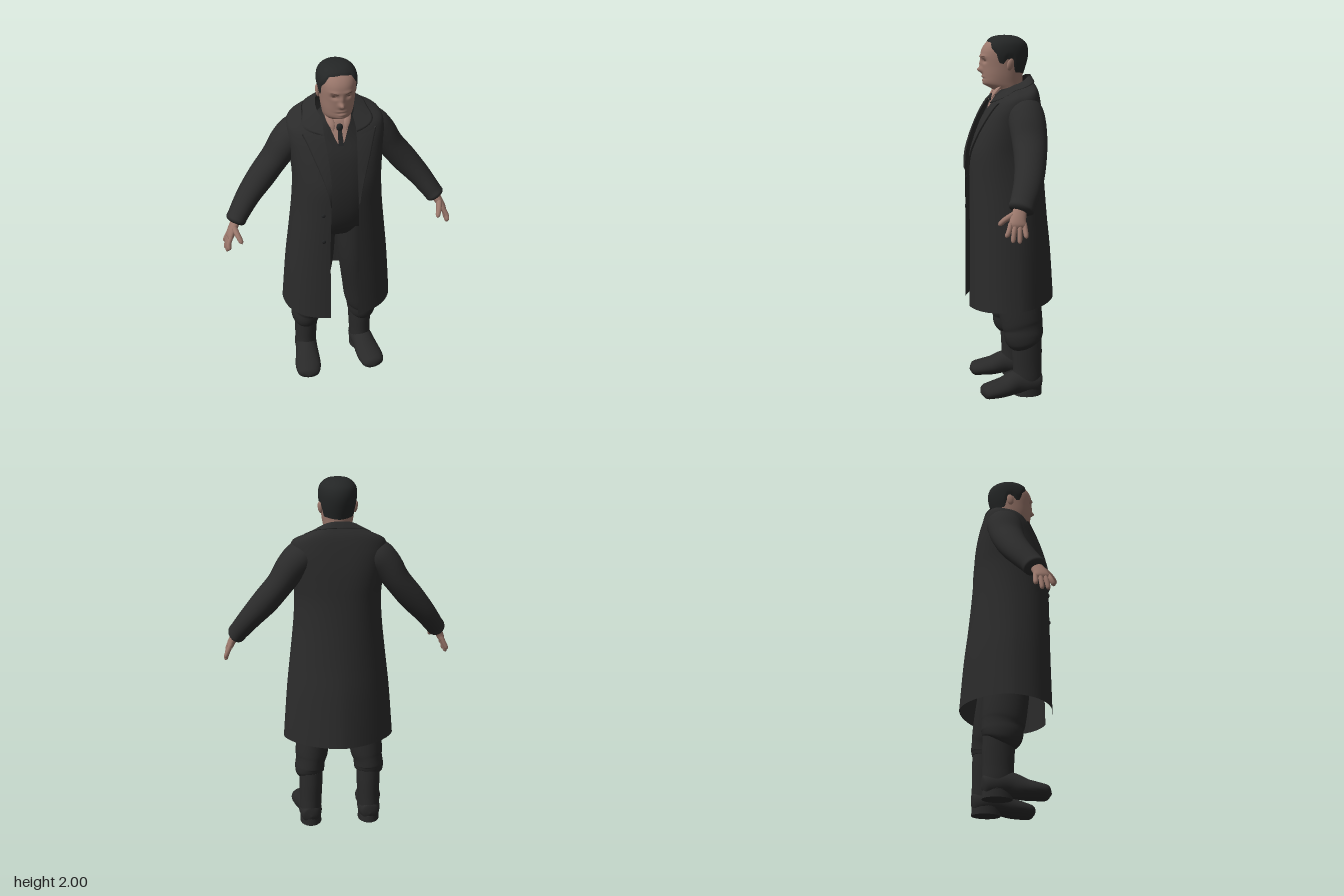
import * as THREE from 'three';
import { mergeVertices } from 'three/addons/utils/BufferGeometryUtils.js';
import { ParametricGeometry } from 'three/addons/geometries/ParametricGeometry.js';

const mat = (name, color) => Object.assign(new THREE.MeshStandardMaterial({ color, side: THREE.DoubleSide }), { name });
const lerp = THREE.MathUtils.lerp;

// Smooth surface from f(u, v) -> [x, y, z]
function surf(f, nu, nv) {
  const g = new ParametricGeometry((u, v, p) => p.set(...f(u, v)), nu, nv);
  g.deleteAttribute('uv');
  g.deleteAttribute('normal');
  const m = mergeVertices(g, 1e-5);
  m.computeVertexNormals();
  return m;
}

// Catmull-Rom through rows of numbers, t counted in rows
function at(keys, t) {
  const n = keys.length - 1, i = Math.max(0, Math.min(n - 1, Math.floor(t))), f = t - i;
  const k = j => keys[Math.max(0, Math.min(n, j))];
  return keys[i].map((b, c) => {
    const a = k(i - 1)[c], d = k(i + 1)[c], e = k(i + 2)[c];
    return b + 0.5 * f * (d - a + f * (2 * a - 5 * b + 4 * d - e + f * (3 * (b - d) + e - a)));
  });
}

// Row position at which the first column (height) reaches y
function rowAt(keys, y) {
  let a = 0, b = keys.length - 1;
  for (let i = 0; i < 24; i++) { const m = (a + b) / 2; if (at(keys, m)[0] < y) a = m; else b = m; }
  return a;
}

// Point of a body section; rows are [y, halfWidth, zFront, zBack, backRise, opening]
function section(keys, t, th, eFront, eBack, off = 0) {
  const [y, w, zf, zb, rise = 0] = at(keys, t);
  const s = Math.sin(th), c = Math.cos(th), e = c > 0 ? eFront : eBack, zc = (zf + zb) / 2;
  return [
    Math.sign(s) * Math.max(0, w) * Math.abs(s) ** e + off * s,
    y + rise * (1 - c) / 2,
    zc + Math.sign(c) * (zf - zc) * Math.abs(c) ** e + off * c,
  ];
}

// Tapered tube through rows [x, y, z, r, r2]; r2 runs along the ref axis
function tube(keys, nu, nv, ref = new THREE.Vector3(0, 0, 1), minY = -1) {
  const n = keys.length - 1;
  return surf((u, v) => {
    const t = v * n, k = at(keys, t);
    const p = at(keys, Math.max(0, t - 0.05)), q = at(keys, Math.min(n, t + 0.05));
    const T = new THREE.Vector3(q[0] - p[0], q[1] - p[1], q[2] - p[2]).normalize();
    const S = T.clone().cross(ref).normalize(), N = T.clone().cross(S), a = u * Math.PI * 2;
    const P = new THREE.Vector3(k[0], k[1], k[2])
      .addScaledVector(S, Math.cos(a) * Math.max(0, k[3])).addScaledVector(N, Math.sin(a) * Math.max(0, k[4]));
    return [P.x, Math.max(minY, P.y), P.z];
  }, nu, nv);
}

const COAT = [
  [0.505, 0.315, 0.25, -0.248, 0.03, 0.08], [0.8, 0.292, 0.247, -0.228, 0.01, 0.08],
  [1.0, 0.27, 0.247, -0.207, 0, 0.08], [1.2, 0.248, 0.247, -0.189, 0, 0.075],
  [1.35, 0.24, 0.243, -0.178, 0, 0.07], [1.45, 0.246, 0.218, -0.173, 0, 0.072],
  [1.53, 0.254, 0.187, -0.166, 0.01, 0.077], [1.6, 0.262, 0.15, -0.153, 0.03, 0.083],
  [1.643, 0.245, 0.12, -0.137, 0.065, 0.086], [1.665, 0.165, 0.1, -0.116, 0.09, 0.085],
  [1.682, 0.1, 0.082, -0.1, 0.106, 0.08],
];
const TORSO = [
  [0.96, 0, 0.02, 0.02], [0.99, 0.13, 0.11, -0.11], [1.08, 0.18, 0.168, -0.14], [1.2, 0.2, 0.2, -0.15],
  [1.35, 0.2, 0.205, -0.15], [1.5, 0.2, 0.175, -0.14], [1.6, 0.18, 0.125, -0.12],
  [1.66, 0.13, 0.1, -0.1], [1.7, 0.085, 0.085, -0.09], [1.73, 0.07, 0.06, -0.08],
];
const HEAD = [
  [1.62, 0.07, 0.05, -0.08], [1.69, 0.072, 0.072, -0.075], [1.712, 0.071, 0.105, -0.07], [1.738, 0.077, 0.143, -0.07],
  [1.78, 0.085, 0.152, -0.07], [1.83, 0.091, 0.157, -0.08], [1.88, 0.096, 0.163, -0.092], [1.92, 0.097, 0.157, -0.093],
  [1.955, 0.088, 0.135, -0.08], [1.982, 0.062, 0.1, -0.045], [1.993, 0.032, 0.062, -0.005], [1.996, 0, 0.03, 0.03],
];
// Face relief: [x, y, spreadX, spreadY, depth]
const RELIEF = [
  [0, 1.813, 0.014, 0.015, 0.026], [0, 1.845, 0.011, 0.022, 0.011], [0.036, 1.86, 0.017, 0.011, -0.012],
  [-0.036, 1.86, 0.017, 0.011, -0.012], [0.035, 1.885, 0.025, 0.009, 0.005], [-0.035, 1.885, 0.025, 0.009, 0.005],
  [0, 1.776, 0.025, 0.008, 0.006], [0, 1.767, 0.025, 0.004, -0.006], [0, 1.758, 0.02, 0.007, 0.006], [0, 1.738, 0.025, 0.013, 0.008],
];
function headPoint(t, th, off = 0) {
  const p = section(HEAD, t, th, 0.92, 1, off);
  if (Math.cos(th) > 0) {
    for (const [x, y, sx, sy, d] of RELIEF) p[2] += d * Math.exp(-(((p[0] - x) / sx) ** 2) - ((p[1] - y) / sy) ** 2);
  }
  return p;
}
const HAIRLINE = [[0, 1.966], [38, 1.958], [50, 1.928], [66, 1.9], [74, 1.85], [84, 1.845],
  [92, 1.872], [106, 1.862], [118, 1.8], [180, 1.79]];
function hairline(th) {
  const d = Math.abs(180 - Math.abs(180 - THREE.MathUtils.radToDeg(th)));
  const i = Math.max(1, HAIRLINE.findIndex(h => h[0] >= d - 1e-6)), [a, ya] = HAIRLINE[i - 1], [b, yb] = HAIRLINE[i];
  return lerp(ya, yb, (d - a) / (b - a));
}

// Coat back runs from a centre ridge at the hem to flat, square shoulders
const FRONT = 0.85;
const coatPoint = (t, th, off) => section(COAT, t, th, FRONT, lerp(1.2, 0.7, Math.min(1, t / 7)), off);
// Angle on the coat front where it reaches x
const coatAngle = (t, x) => Math.asin(Math.min(1, x / at(COAT, t)[1]) ** (1 / FRONT));
const openAngle = t => coatAngle(t, at(COAT, t)[5]);

// Thin strip lying on the torso front between two heights
function torsoStrip(y0, y1, half, off) {
  return surf((u, v) => {
    const y = lerp(y0, y1, v), x = (u * 2 - 1) * half(v), t = rowAt(TORSO, y), w = at(TORSO, t)[1];
    const p = section(TORSO, t, Math.asin(Math.min(1, Math.abs(x) / w) ** 1.25), 0.8, 0.9);
    return [x, y, p[2] + off];
  }, 12, 14);
}

export function createModel() {
  const root = new THREE.Group();
  const coat = mat('charcoal coat', 0x2b2b2b), suit = mat('dark suit', 0x282828), boots = mat('boot leather', 0x292929);
  const skin = mat('skin', 0x9b786c), hair = mat('black hair', 0x242626);
  const shirt = mat('shirt', 0xa37f73), tie = mat('tie', 0x232425), brown = mat('brow brown', 0x6b5147);
  const add = (name, geo, m, parent = root) => {
    const mesh = new THREE.Mesh(geo, m);
    mesh.name = name;
    parent.add(mesh);
    return mesh;
  };

  // Overcoat shell, open down the front
  add('overcoat', surf((u, v) => {
    const t = v * 10, a = openAngle(t);
    return coatPoint(t, lerp(a, Math.PI * 2 - a, u));
  }, 72, 60), coat);
  // Turned collar, its lower edge folded back to the coat
  add('collar', surf((u, v) => {
    const low = 7.8 + Math.min(1, Math.min(u, 1 - u) * 5) * 1.2;
    const t = lerp(low, 10, Math.max(0, v - 0.1) / 0.9), a = openAngle(t);
    return coatPoint(t, lerp(a, Math.PI * 2 - a, u), v < 0.05 ? 0 : 0.009);
  }, 48, 10), coat);

  // Suit beneath the coat
  add('waistcoat', surf((u, v) => section(TORSO, v * 9, u * Math.PI * 2, 0.8, 0.9), 48, 45), suit);
  add('shirtFront', torsoStrip(1.575, 1.72, v => 0.008 + 0.058 * v ** 0.75, 0.005), shirt);
  add('tieBlade', torsoStrip(1.575, 1.655, v => 0.015 - 0.005 * v, 0.009), tie);
  const knot = add('tieKnot', new THREE.SphereGeometry(1, 16, 10), tie);
  knot.scale.set(0.018, 0.022, 0.012);
  knot.position.set(0, 1.663, 0.106);

  // Head
  const head = new THREE.Group();
  head.name = 'head';
  root.add(head);
  add('face', surf((u, v) => headPoint(v * 11, u * Math.PI * 2), 96, 99), skin, head);
  add('hair', surf((u, v) => {
    const th = u * Math.PI * 2, t = lerp(rowAt(HEAD, hairline(th)), 11, v);
    const p = headPoint(t, th, 0.007 * Math.min(1, 0.2 + v * 6) * Math.min(1, (1 - v) * 8));
    p[1] += 0.004 * Math.min(1, v * 3);
    return p;
  }, 120, 24), hair, head);

  // Everything paired: made on the left, mirrored to the right
  for (const s of [1, -1]) {
    const side = new THREE.Group();
    side.name = s > 0 ? 'leftSide' : 'rightSide';
    side.scale.x = s;
    root.add(side);

    const ear = add('ear', new THREE.SphereGeometry(1, 14, 12), skin, side);
    ear.scale.set(0.011, 0.033, 0.02);
    ear.position.set(0.096, 1.842, 0.016);
    ear.rotation.set(-0.2, 0.35, -0.1);
    add('eyebrow', surf((u, v) => {
      const th = lerp(0.17, 0.58, u), y = 1.875 + 0.007 * Math.sin(u * 2.6) + 0.005 * v;
      return headPoint(rowAt(HEAD, y), th, 0.002);
    }, 10, 2), brown, side);
    add('eye', surf((u, v) => {
      const th = lerp(0.27, 0.5, u), y = 1.861 + (v - 0.5) * 0.009 * Math.sin(u * Math.PI);
      return headPoint(rowAt(HEAD, y), th, 0.002);
    }, 10, 2), brown, side);

    // Lapel with a folded outer edge and a peak below the collar
    add('lapel', surf((u, v) => {
      const k = Math.min(1, u / 0.9), t = lerp(3.3, 7.35 + 0.35 * k, v), a = openAngle(t), g = at(COAT, t)[5];
      return coatPoint(t, lerp(a, coatAngle(t, lerp(g, 0.19, v)), k), u > 0.95 || v < 0.01 ? 0 : 0.004 + 0.007 * k);
    }, 10, 30), coat, side);
    add('shirtCollar', tube([[0.06, 1.735, 0.05, 0, 0], [0.055, 1.72, 0.07, 0.016, 0.008],
      [0.04, 1.68, 0.1, 0.016, 0.006], [0.034, 1.645, 0.113, 0, 0]], 12, 12), shirt, side);
    add('pocketFlap', surf((u, v) => {
      const t = lerp(2.55, 2.95, u) + v * 0.1;
      return coatPoint(t, coatAngle(t, lerp(0.17, 0.225, u)), 0.005);
    }, 8, 2), coat, side);

    // Sleeve
    add('sleeve', tube([[0.12, 1.615, -0.035, 0.05, 0.07], [0.195, 1.592, -0.04, 0.088, 0.098], [0.255, 1.538, -0.043, 0.086, 0.1],
      [0.32, 1.445, -0.042, 0.074, 0.094], [0.4, 1.345, -0.028, 0.073, 0.084], [0.48, 1.25, 0, 0.063, 0.076],
      [0.545, 1.163, 0.04, 0.054, 0.067], [0.568, 1.13, 0.057, 0.048, 0.062], [0.576, 1.118, 0.063, 0, 0]], 28, 56), coat, side);
    // Hand
    add('palm', tube([[0.558, 1.145, 0.055, 0.026, 0.034], [0.59, 1.09, 0.075, 0.022, 0.04],
      [0.605, 1.055, 0.08, 0.018, 0.044], [0.612, 1.037, 0.08, 0, 0]], 18, 15), skin, side);
    [[0.116, 0.138, 1.0, 0.618], [0.092, 0.108, 0.975, 0.625], [0.069, 0.075, 0.972, 0.63], [0.046, 0.042, 0.995, 0.63]]
      .forEach(([z0, z1, y, x]) => add('finger', tube([[0.6, 1.07, z0, 0.012, 0.012], [0.616, 1.035, lerp(z0, z1, 0.5), 0.013, 0.013],
        [x, y + 0.01, z1, 0.011, 0.011], [x, y, z1, 0, 0]], 10, 12), skin, side));
    add('thumb', tube([[0.578, 1.11, 0.095, 0.016, 0.018], [0.565, 1.085, 0.135, 0.015, 0.015],
      [0.553, 1.06, 0.16, 0.012, 0.012], [0.55, 1.05, 0.168, 0, 0]], 10, 12), skin, side);

    // Trouser leg, bloused over the boot
    add('trouserLeg', tube([[0.1, 1.06, 0.02, 0.095, 0.13], [0.108, 0.8, 0.01, 0.09, 0.125], [0.146, 0.54, -0.022, 0.094, 0.122],
      [0.16, 0.43, -0.035, 0.093, 0.118], [0.167, 0.385, -0.042, 0.084, 0.112], [0.172, 0.345, -0.045, 0.085, 0.11],
      [0.171, 0.31, -0.052, 0.08, 0.097], [0.169, 0.298, -0.056, 0.06, 0.075]], 32, 49), suit, side);
    // Boot
    add('bootShaft', tube([[0.168, 0.33, -0.062, 0.068, 0.085], [0.168, 0.25, -0.064, 0.067, 0.085], [0.17, 0.16, -0.066, 0.064, 0.082],
      [0.172, 0.1, -0.066, 0.063, 0.083], [0.172, 0.04, -0.066, 0.06, 0.08]], 28, 24), boots, side);
    add('bootFoot', tube([[0.171, 0.06, -0.152, 0, 0], [0.171, 0.062, -0.14, 0.042, 0.05], [0.172, 0.067, -0.115, 0.058, 0.062],
      [0.172, 0.072, -0.07, 0.066, 0.066], [0.178, 0.075, 0, 0.066, 0.066], [0.187, 0.055, 0.07, 0.074, 0.054],
      [0.196, 0.045, 0.135, 0.075, 0.045], [0.2, 0.038, 0.185, 0.057, 0.036], [0.203, 0.034, 0.206, 0, 0]],
    28, 48, new THREE.Vector3(0, 1, 0), 0.004), boots, side);
    const heel = add('bootHeel', new THREE.CylinderGeometry(0.06, 0.062, 0.04, 24), boots, side);
    heel.scale.z = 1.28;
    heel.position.set(0.171, 0.02, -0.07);

    // Coat buttons on the overlapping right edge
    for (const t of s < 0 ? [2.2, 3.05] : []) {
      const b = add('coatButton', new THREE.SphereGeometry(0.012, 12, 8), tie, side);
      b.position.set(...coatPoint(t, coatAngle(t, 0.115)));
      b.scale.z = 0.5;
    }
  }
  return root;
}
